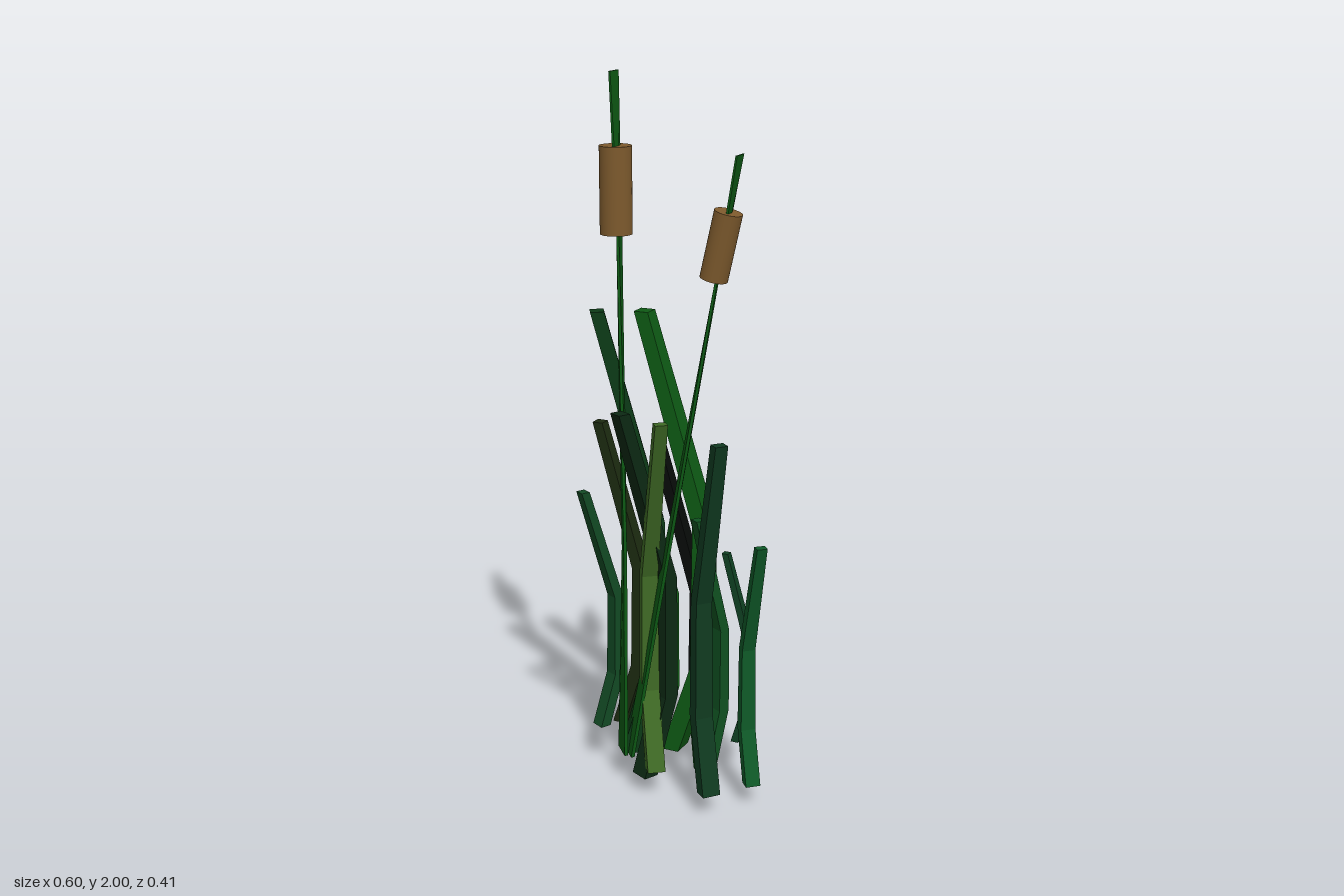
import * as THREE from 'three';

const material = (color) => new THREE.MeshStandardMaterial({ color, flatShading: true });

// Reshapes a box with stacked rows; each row is [height, x shift, thickness, width, z shift, twist in degrees]
function rowsGeometry(rows) {
  const n = rows.length - 1;
  const geometry = new THREE.BoxGeometry(1, 1, 1, 1, n, 1);
  const p = geometry.attributes.position;
  for (let i = 0; i < p.count; i++) {
    const [y, xShift, thick, width, zShift = 0, twist = 0] = rows[Math.round((p.getY(i) + 0.5) * n)];
    const a = THREE.MathUtils.degToRad(twist);
    const x = p.getX(i) * thick, z = p.getZ(i) * width;
    p.setXYZ(i, xShift + x * Math.cos(a) + z * Math.sin(a), y, zShift + z * Math.cos(a) - x * Math.sin(a));
  }
  geometry.computeVertexNormals();
  return geometry;
}

// Bent leaf: the middle stands upright at (mx, mz), the foot and tip lean towards (tx, tz)
function leaf([mx, mz, tx, tz, y0, y1, width, color]) {
  const reach = Math.hypot(tx - mx, tz - mz);
  const h = y1 - y0;
  const thick = width * 0.76;
  const mesh = new THREE.Mesh(rowsGeometry([
    [y0, reach * 0.5, thick, width],
    [y0 + h * 0.21, 0.002, thick, width],
    [y0 + h * 0.54, 0, thick * 0.9, width * 0.9],
    [y1, reach, thick * 0.8, width * 0.68],
  ]), material(color));
  mesh.position.set(mx, 0, mz);
  mesh.rotation.y = Math.atan2(mz - tz, tx - mx);
  mesh.name = 'leaf';
  return mesh;
}

// Cattail: thin twisted stalk with a cylindrical seed head
function cattail(rows, bottom, top, radius) {
  const group = new THREE.Group();
  group.name = 'cattail';
  const stalk = new THREE.Mesh(rowsGeometry(rows), material(0x0d5a14));
  stalk.name = 'stalk';
  const a = new THREE.Vector3(...bottom), b = new THREE.Vector3(...top);
  const axis = b.clone().sub(a);
  const head = new THREE.Mesh(
    new THREE.CylinderGeometry(radius, radius, axis.length(), 32),
    new THREE.MeshStandardMaterial({ color: 0x7d5a2d }));
  head.position.copy(a).add(b).multiplyScalar(0.5);
  head.quaternion.setFromUnitVectors(new THREE.Vector3(0, 1, 0), axis.normalize());
  head.name = 'seedHead';
  group.add(stalk, head);
  return group;
}

export function createModel() {
  const model = new THREE.Group();
  model.name = 'cattailPlant';

  // Leaves: middle x, z, tip x, z, foot height, tip height, width, colour
  const leaves = [
    [0.217, 0.012, 0.284, 0.087, 0.06, 0.78, 0.042, 0x0f5a28],
    [0.125, 0.115, 0.204, 0.183, 0.06, 1.08, 0.052, 0x103a20],
    [-0.06, 0.06, 0.036, 0.182, 0.08, 1.115, 0.05, 0x3f6a25],
    [-0.02, 0.035, -0.088, 0.168, 0.05, 1.125, 0.058, 0x0c2813],
    [-0.018, -0.181, -0.143, -0.181, 0.02, 0.93, 0.051, 0x070b09],
    [-0.16, -0.093, -0.285, -0.093, 0.1, 1.01, 0.05, 0x1c2a10],
    [-0.218, -0.045, -0.268, 0.047, 0.12, 0.845, 0.042, 0x124a24],
    [-0.08, -0.122, -0.138, -0.008, 0.04, 0.92, 0.045, 0x0f5a14],
    [0.012, -0.109, 0.07, -0.048, 0.0, 0.73, 0.04, 0x0f5a1a],
    [0.128, -0.01, 0.088, 0.06, 0.09, 0.82, 0.042, 0x0f5020],
    [0.174, -0.108, 0.1, -0.108, 0.1, 0.67, 0.031, 0x0f4022],
    [-0.06, 0.01, -0.195, 0.088, 0.09, 1.375, 0.062, 0x0c3a16],
    [0.068, -0.029, -0.112, -0.029, 0.085, 1.36, 0.068, 0x0e5a14],
  ];
  for (const data of leaves) model.add(leaf(data));

  // Upright cattail and the one leaning to the left
  model.add(cattail([
    [0.09, -0.138, 0.01, 0.068, 0.072, 42],
    [0.7, -0.128, 0.009, 0.062, 0.072, 32],
    [1.58, -0.135, 0.007, 0.055, 0.07, 18],
    [2.0, -0.147, 0.005, 0.048, 0.07, 0],
  ], [-0.147, 1.58, 0.064], [-0.147, 1.81, 0.064], 0.043));
  model.add(cattail([
    [0.09, -0.115, 0.01, 0.062, 0.075, 42],
    [0.75, 0.01, 0.009, 0.058, 0.077, 32],
    [1.48, 0.15, 0.007, 0.05, 0.085, 18],
    [1.81, 0.214, 0.005, 0.044, 0.092, 0],
  ], [0.144, 1.49, 0.09], [0.184, 1.665, 0.09], 0.037));

  return model;
}
